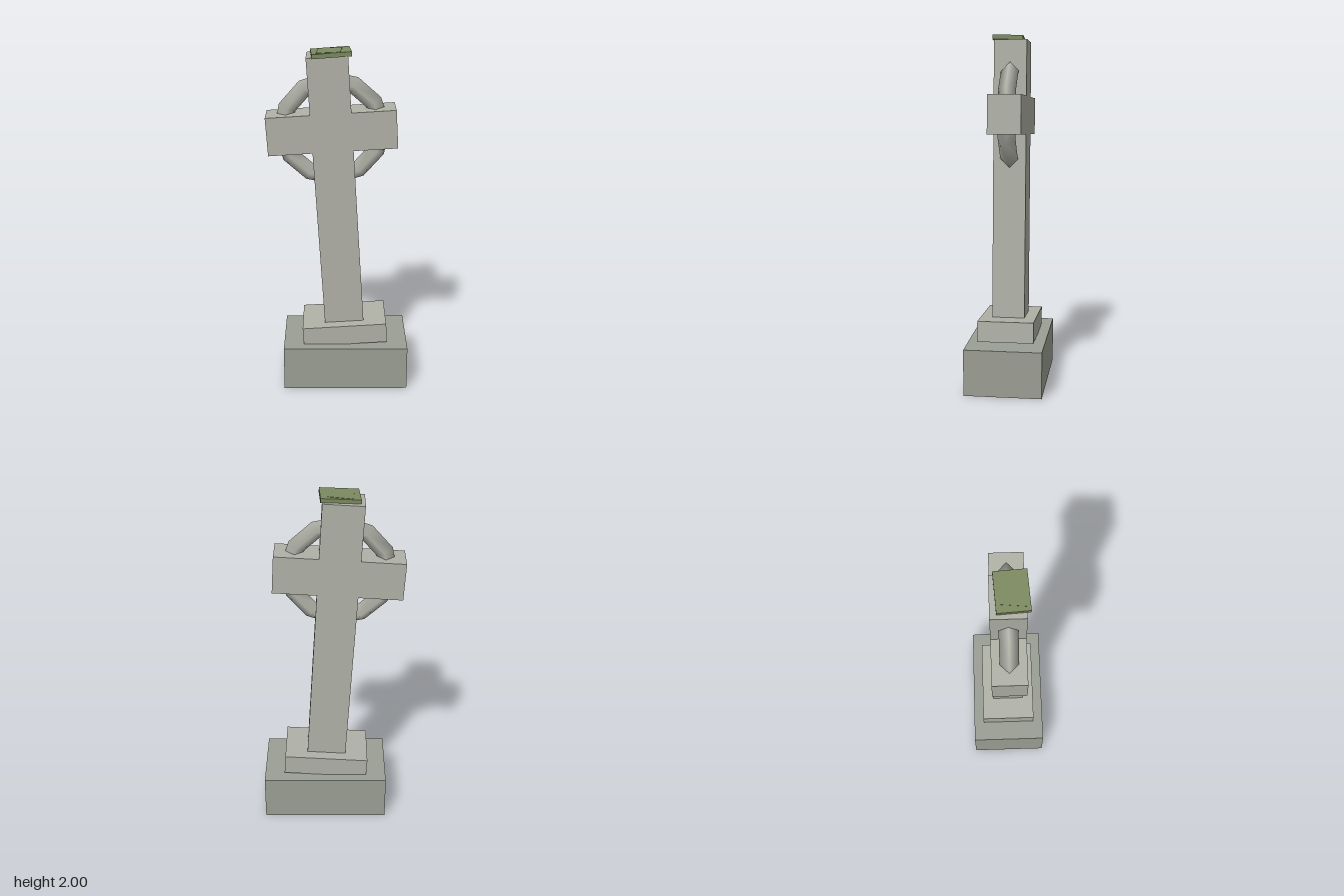
import * as THREE from 'three';

const material = (color) =>
  new THREE.MeshStandardMaterial({ color, side: THREE.DoubleSide });

export function createModel() {
  const model = new THREE.Group();
  model.name = 'leaningRingedCross';
  const stone = material(0xb0b1a7);
  const baseStone = material(0x9c9f94);
  const moss = material(0x7c8a60);

  const add = (parent, name, geometry, mat, x = 0, y = 0, z = 0) => {
    const mesh = new THREE.Mesh(geometry, mat);
    mesh.name = name;
    mesh.position.set(x, y, z);
    parent.add(mesh);
    return mesh;
  };

  // Upright base block, hollow and open underneath (bottom face dropped)
  const baseGeo = new THREE.BoxGeometry(0.73, 0.265, 0.44);
  const index = Array.from(baseGeo.index.array);
  index.splice(18, 6);
  baseGeo.setIndex(index);
  baseGeo.clearGroups();
  add(model, 'base', baseGeo, baseStone, 0.04, 0.1325, 0);

  // Everything above leans to one side, pivoting at the foot of the shaft
  const leaning = new THREE.Group();
  leaning.name = 'leaningCross';
  leaning.position.set(0.033, 0.383, 0);
  leaning.rotation.z = 0.061;
  model.add(leaning);

  add(leaning, 'plinth', new THREE.BoxGeometry(0.495, 0.118, 0.32), stone, 0, -0.059, 0);

  // Cross outline: half of it, mirrored for the other side
  const armY = 1.166, shaftW = 0.115, armW = 0.364, armH = 0.109, top = 1.592;
  const half = [
    [shaftW, -0.02], [shaftW, armY - armH], [armW, armY - armH],
    [armW, armY + armH], [shaftW, armY + armH], [shaftW, top],
  ];
  const mirrored = half.map(([x, y]) => [-x, y]).reverse();
  const outline = new THREE.Shape(
    [...half, ...mirrored].map(([x, y]) => new THREE.Vector2(x, y)));
  const crossGeo = new THREE.ExtrudeGeometry(outline, { depth: 0.187, bevelEnabled: false });
  crossGeo.translate(0, 0, -0.0935);
  add(leaning, 'cross', crossGeo, stone);

  // Ring behind the arms: diamond section, twelve segments
  add(leaning, 'ring', new THREE.TorusGeometry(0.28, 0.05, 4, 12), stone, 0, armY, 0);

  // Two skewed moss patches on the top of the shaft
  const patches = [
    ['mossPatch', 0.218, 0.172, -0.043, 1.983, 0.0195, 0.064],
    ['mossPatchUpper', 0.134, 0.146, -0.051, 1.9845, 0.0225, -0.095],
  ];
  for (const [name, w, d, x, y, z, turn] of patches) {
    const patch = add(model, name, new THREE.BoxGeometry(w, 0.025, d), moss, x, y, z);
    patch.rotation.set(0, turn, 0.061, 'ZYX');
  }

  return model;
}
